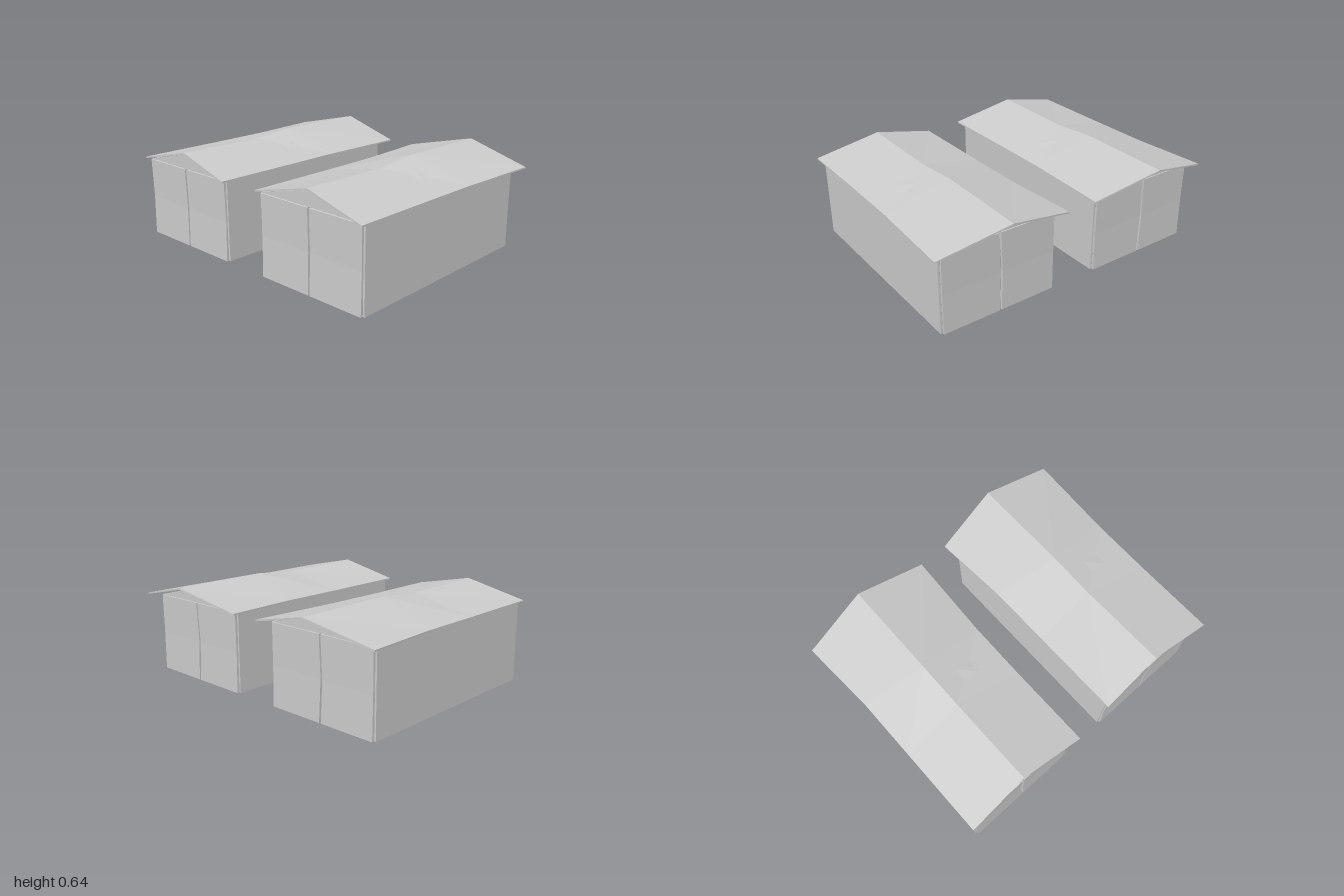
import * as THREE from 'three';

const mat = new THREE.MeshStandardMaterial({ color: 0xcccccc, flatShading: true, side: THREE.DoubleSide });

function add(group, geometry, name) {
  const mesh = new THREE.Mesh(geometry, mat);
  mesh.name = name;
  group.add(mesh);
  return mesh;
}

// Box given by its limits; bend(x, y, z) returns the shift of the mid-height corners
function panel(x0, x1, y0, y1, z0, z1, bend) {
  const geo = new THREE.BoxGeometry(x1 - x0, y1 - y0, z1 - z0, 1, bend ? 2 : 1, 1);
  geo.translate((x0 + x1) / 2, (y0 + y1) / 2, (z0 + z1) / 2);
  if (bend) {
    const p = geo.attributes.position;
    for (let i = 0; i < p.count; i++) {
      if (Math.abs(p.getY(i) - (y0 + y1) / 2) > 0.01) continue;
      const [dx, dz] = bend(p.getX(i));
      p.setXYZ(i, p.getX(i) + dx, p.getY(i), p.getZ(i) + dz);
    }
    geo.computeVertexNormals();
  }
  return geo;
}

// Thin sagging roof: left eave, ridge and right eave at four stations, front to back
function roofGeometry() {
  const t = 0.01;
  const stations = [
    [[-0.42, 0.533, 0.775], [-0.01, 0.627, 0.76], [0.415, 0.533, 0.80]],
    [[-0.42, 0.53, 0.17], [-0.01, 0.616, 0.16], [0.415, 0.53, 0.24]],
    [[-0.42, 0.53, -0.24], [-0.01, 0.641, -0.15], [0.42, 0.53, -0.15]],
    [[-0.45, 0.53, -0.74], [-0.005, 0.633, -0.805], [0.45, 0.53, -0.74]],
  ];
  const loops = stations.map((s) => [
    ...s, ...[...s].reverse().map(([x, y, z]) => [x, y - t, z]),
  ]);
  const pos = [];
  const quad = (a, b, c, d) => pos.push(...a, ...b, ...c, ...a, ...c, ...d);
  for (let i = 0; i < loops.length - 1; i++) {
    for (let j = 0; j < 6; j++) {
      const k = (j + 1) % 6;
      quad(loops[i][j], loops[i][k], loops[i + 1][k], loops[i + 1][j]);
    }
  }
  const f = loops[0], b = loops[loops.length - 1];
  quad(f[0], f[5], f[4], f[1]);
  quad(f[1], f[4], f[3], f[2]);
  quad(b[1], b[4], b[5], b[0]);
  quad(b[2], b[3], b[4], b[1]);
  const geo = new THREE.BufferGeometry();
  geo.setAttribute('position', new THREE.Float32BufferAttribute(pos, 3));
  geo.computeVertexNormals();
  return geo;
}

function gableGeometry(z, depth) {
  const shape = new THREE.Shape([
    new THREE.Vector2(-0.39, 0.52), new THREE.Vector2(0.376, 0.52), new THREE.Vector2(-0.008, 0.615),
  ]);
  return new THREE.ExtrudeGeometry(shape, { depth, bevelEnabled: false }).translate(0, 0, z);
}

function createShed() {
  const shed = new THREE.Group();
  const top = 0.517;

  // Side walls
  add(shed, panel(-0.402, -0.391, 0, top, -0.664, 0.742), 'rightWall');
  add(shed, panel(0.378, 0.39, 0, top, -0.664, 0.742), 'leftWall');

  // Paired end panels with a narrow gap between, slightly warped at mid height
  const nearGap = (x) => Math.abs(x + 0.008) < 0.05;
  for (const [side, x0, x1] of [['Right', -0.39, -0.014], ['Left', -0.001, 0.376]]) {
    add(shed, panel(x0, x1, 0, top, 0.742, 0.756, () => [0, -0.006]), 'frontPanel' + side);
    add(shed, panel(x0, x1, 0, top, -0.679, -0.664,
      (x) => [nearGap(x) ? -0.01 : 0, 0.003]), 'backPanel' + side);
  }

  // Gables and roof
  add(shed, gableGeometry(0.735, 0.012), 'frontGable');
  add(shed, gableGeometry(-0.676, 0.012), 'backGable');
  add(shed, roofGeometry(), 'roof');
  return shed;
}

export function createModel() {
  const model = new THREE.Group();
  model.name = 'sheds';
  for (const [name, x] of [['rightShed', -0.55], ['leftShed', 0.55]]) {
    const shed = createShed();
    shed.name = name;
    shed.position.x = x;
    model.add(shed);
  }
  return model;
}
